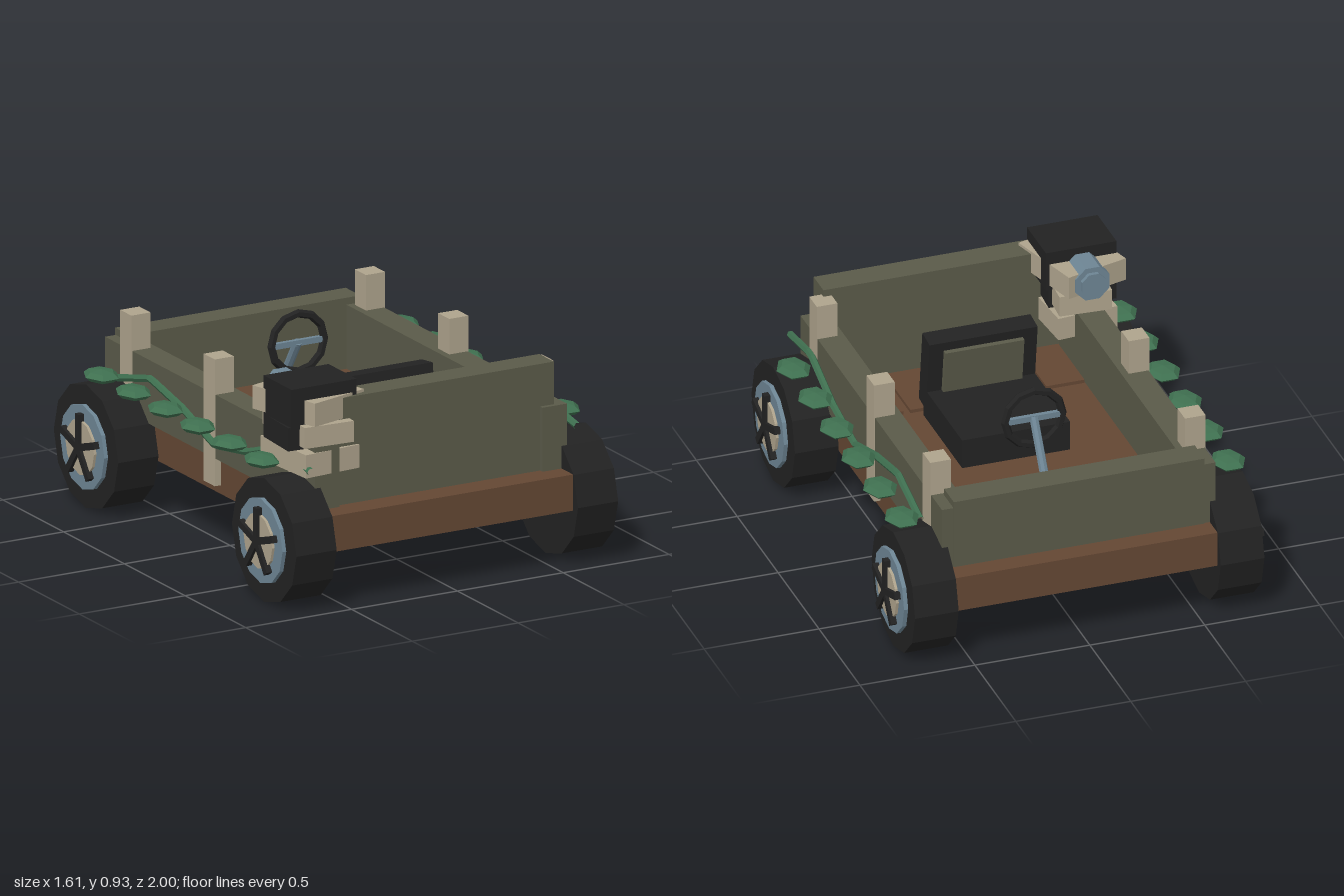
import * as THREE from 'three';

export function createModel() {
  const root = new THREE.Group();
  root.name = 'buggy';

  const mat = (name, color) => {
    const m = new THREE.MeshStandardMaterial({ color, flatShading: true });
    m.name = name;
    return m;
  };
  const brown = mat('rustBrown', 0x644733);
  const olive = mat('oliveArmor', 0x5a5a49);
  const black = mat('rubberBlack', 0x222222);
  const beige = mat('boneBeige', 0xaea38c);
  const blue = mat('steelBlue', 0x6d8594);
  const green = mat('vineGreen', 0x3f7050);

  const add = (name, geo, m, x = 0, y = 0, z = 0, parent = root) => {
    const mesh = new THREE.Mesh(geo, m);
    mesh.name = name;
    mesh.position.set(x, y, z);
    parent.add(mesh);
    return mesh;
  };
  // box given by its lower and upper corner
  const box = (name, m, x0, x1, y0, y1, z0, z1, parent = root) =>
    add(name, new THREE.BoxGeometry(x1 - x0, y1 - y0, z1 - z0), m,
      (x0 + x1) / 2, (y0 + y1) / 2, (z0 + z1) / 2, parent);

  // chassis and floor planks
  box('chassis', brown, -0.57, 0.57, 0.245, 0.4, -0.96, 0.96);
  for (let i = -2; i <= 2; i++)
    box('floorPlank', brown, i * 0.197 - 0.083, i * 0.197 + 0.083, 0.4, 0.415, 0.405, 0.73);

  // armour walls
  box('frontWall', olive, -0.545, 0.545, 0.4, 0.858, 0.725, 0.845);
  box('backWall', olive, -0.545, 0.545, 0.4, 0.705, -0.87, -0.75);
  for (const s of [-1, 1]) {
    add('sideWall', new THREE.BoxGeometry(0.115, 0.275, 1.73), olive, s * 0.5375, 0.5375, 0);
    for (const z of [-0.687, 0, 0.7])
      add('post', new THREE.BoxGeometry(0.09, 0.545, 0.092), beige, s * 0.554, 0.555, z);
  }

  // wheels: axle points outward along local y
  function makeWheel(s, z) {
    const wheel = new THREE.Group();
    wheel.name = 'wheel';
    const disc = (name, r, x0, x1, m, sides) => {
      const g = new THREE.CylinderGeometry(r, r, x1 - x0, sides);
      add(name, g, m, 0, (x0 + x1) / 2, 0, wheel);
    };
    disc('tire', 0.266, 0.57, 0.76, black, 12);
    disc('rim', 0.182, 0.6, 0.778, blue, 12);
    disc('hubPlate', 0.118, 0.6, 0.79, beige, 12);
    for (let i = 0; i < 5; i++) {
      const spoke = new THREE.Group();
      spoke.name = 'spoke';
      spoke.rotation.y = (i * Math.PI * 2) / 5;
      const side = -s; // first spoke points up on either side
      add('spokeBar', new THREE.BoxGeometry(0.145, 0.03, 0.03), black, side * 0.0725, 0.789, 0, spoke);
      wheel.add(spoke);
    }
    wheel.rotation.z = -s * Math.PI / 2;
    wheel.position.set(0, 0.266, z);
    root.add(wheel);
  }
  for (const s of [-1, 1]) for (const z of [-0.734, 0.734]) makeWheel(s, z);

  // seat
  box('seatCushion', black, -0.235, 0.235, 0.4, 0.53, -0.1, 0.37);
  const backrest = new THREE.Group();
  backrest.name = 'seatBack';
  box('backPad', black, -0.235, 0.235, 0, 0.33, -0.045, 0.045, backrest);
  box('backPanel', olive, -0.172, 0.172, 0.09, 0.29, -0.066, -0.04, backrest);
  backrest.position.set(0, 0.445, 0.385);
  backrest.rotation.x = -0.13;
  root.add(backrest);

  // steering wheel, crossbar and column
  add('steeringWheel', new THREE.TorusGeometry(0.125, 0.018, 6, 12), black, 0, 0.708, -0.315);
  box('steeringCrossbar', blue, -0.12, 0.12, 0.695, 0.72, -0.325, -0.305);
  const top = new THREE.Vector3(0, 0.71, -0.315), foot = new THREE.Vector3(0, 0.4, -0.515);
  const column = add('steeringColumn',
    new THREE.CylinderGeometry(0.019, 0.019, top.distanceTo(foot), 8), blue, 0, 0.555, -0.415);
  column.quaternion.setFromUnitVectors(new THREE.Vector3(0, 1, 0), top.clone().sub(foot).normalize());

  // corner engine: stacked crooked blocks with a cap and a drum
  const engine = new THREE.Group();
  engine.name = 'cornerEngine';
  root.add(engine);
  box('engineCap', black, -0.685, -0.378, 0.75, 0.925, 0.598, 0.83, engine);
  const lower = box('engineBase', black, -0.69, -0.4, 0.66, 0.76, 0.6, 0.83, engine);
  lower.rotation.y = -0.06;
  const slabs = [
    [-0.52, 0.82, 0.677, 0.285, 0.1, 0.36, 0.27],
    [-0.525, 0.722, 0.685, 0.225, 0.09, 0.39, -0.06],
    [-0.525, 0.6, 0.7, 0.265, 0.1, 0.33, 0.08],
  ];
  for (const [x, y, z, w, h, d, r] of slabs)
    add('engineSlab', new THREE.BoxGeometry(w, h, d), beige, x, y, z, engine).rotation.y = r;
  const drum = (name, r, z0, z1) => {
    const g = new THREE.CylinderGeometry(r, r, z1 - z0, 8).rotateY(Math.PI / 8).rotateX(Math.PI / 2);
    add(name, g, blue, -0.535, 0.822, (z0 + z1) / 2, engine);
  };
  drum('engineDrum', 0.08, 0.468, 0.61);
  drum('drumCover', 0.056, 0.45, 0.47);

  // vines with flat leaves along both sides
  const vinePoints = [
    [0.58, 0.89], [0.62, 0.64], [0.525, 0.37], [0.48, 0.1],
    [0.565, -0.165], [0.62, -0.43], [0.55, -0.7],
  ];
  for (const s of [-1, 1]) {
    const path = new THREE.CurvePath();
    const pts = vinePoints.map(([y, z]) => new THREE.Vector3(s * 0.63, y, z));
    for (let i = 0; i < pts.length - 1; i++) path.add(new THREE.LineCurve3(pts[i], pts[i + 1]));
    add('vine', new THREE.TubeGeometry(path, 36, 0.016, 6, false), green);
    for (let i = 0; i < 6; i++) {
      const leaf = add('leaf', new THREE.SphereGeometry(1, 6, 4), green,
        s * 0.71, 0.574, 0.627 - i * 0.2645);
      leaf.scale.set(0.074, 0.027, 0.093);
    }
  }
  return root;
}
